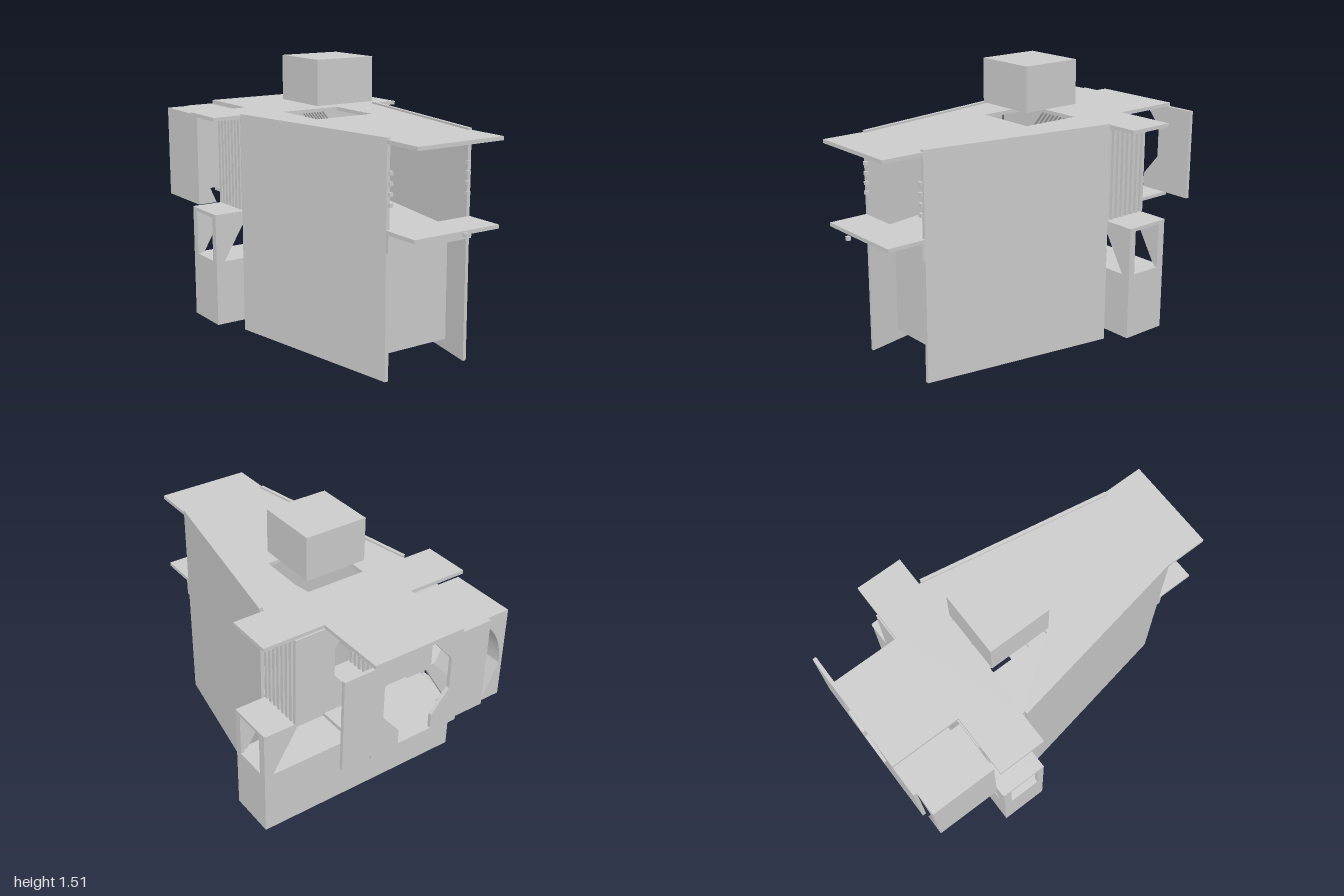
import * as THREE from 'three';
import { toCreasedNormals } from 'three/addons/utils/BufferGeometryUtils.js';

const mat = new THREE.MeshStandardMaterial({ color: 0xcccccc });

function toShape(pts, holes = []) {
  const shape = new THREE.Shape(pts.map(p => new THREE.Vector2(...p)));
  for (const h of holes) shape.holes.push(new THREE.Path(h.map(p => new THREE.Vector2(...p))));
  return shape;
}
const extrude = (shape, depth) =>
  new THREE.ExtrudeGeometry(shape, { depth, bevelEnabled: false, curveSegments: 20 });

export function createModel() {
  const group = new THREE.Group();
  const add = (name, geo) => {
    const mesh = new THREE.Mesh(geo, mat);
    mesh.name = name;
    group.add(mesh);
    return mesh;
  };
  const box = (name, x0, x1, y0, y1, z0, z1) =>
    add(name, new THREE.BoxGeometry(x1 - x0, y1 - y0, z1 - z0))
      .position.set((x0 + x1) / 2, (y0 + y1) / 2, (z0 + z1) / 2);
  // Horizontal slab, symmetric in x, from half outline points [x, z]
  const slab = (name, half, y0, y1, hole) => {
    const flip = half.map(([x, z]) => [x, -z]);
    const outline = [...flip, ...flip.map(([x, y]) => [-x, y]).reverse()];
    const geo = extrude(toShape(outline, hole ? [hole] : []), y1 - y0);
    add(name, geo.rotateX(-Math.PI / 2).translate(0, y0, 0));
  };
  // Upright panel in the xy plane
  const panel = (name, pts, z0, z1, holes) =>
    add(name, extrude(toShape(pts, holes), z1 - z0).translate(0, 0, z0));

  // Square lift shaft opening shared by roof and floors
  const shaft = [[-0.175, 0], [0.175, 0], [0.175, 0.335], [-0.175, 0.335]];

  // Roof with front canopy, side wings and rear tail
  slab('roof', [[0.26, 0.95], [0.26, 0.72], [0.245, 0.72], [0.43, -0.35], [0.6, -0.35],
    [0.6, -0.61], [0.26, -0.61], [0.26, -1]], 1.18, 1.2, shaft);
  box('liftCar', -0.175, 0.175, 1.27, 1.51, -0.34, 0.005);

  // Middle and lower floors
  slab('middleFloor', [[0.24, 0.72], [0.425, -0.345], [0.6, -0.345], [0.6, -0.61],
    [0.26, -0.61], [0.26, -1]], 0.655, 0.675, shaft);
  slab('lowerFloor', [[0.275, 0.53], [0.425, -0.345]], 0.055, 0.075, shaft);

  // Tapering side walls
  for (const s of [-1, 1]) {
    const pts = [[0.24, -0.72], [0.26, -0.72], [0.445, 0.335], [0.425, 0.335]].map(([x, y]) => [s * x, y]);
    add('sideWall', extrude(toShape(pts), 1.21).rotateX(-Math.PI / 2));
  }

  // Recessed front panel, fascia and counter
  box('frontPanel', -0.275, 0.275, 0.06, 0.655, 0.52, 0.54);
  box('frontFascia', -0.26, 0.26, 0.655, 0.745, 0.72, 0.737);
  box('counter', -0.26, 0.26, 0.745, 0.765, 0.72, 0.935);
  box('counterKnob', -0.01, 0.01, 0.753, 0.773, 0.98, 1);

  // Rows of small studs on the wall ends
  for (const s of [-1, 1]) for (let i = 0; i < 4; i++) {
    const y = 0.885 + i * 0.052, yr = 0.455 + i * 0.052;
    box('frontStud', s * 0.24 - 0.01, s * 0.24 + 0.01, y - 0.01, y + 0.01, 0.713, 0.733);
    box('rearStud', s * 0.425 - 0.01, s * 0.425 + 0.01, yr - 0.01, yr + 0.01, -0.347, -0.327);
  }

  // Mirrored rib halves forming an octagonal passage
  const ribHalf = [[0.43, 0.675], [0.43, 1.18], [0.09, 1.18], [0.2, 1.05],
    [0.2, 0.875], [0.1, 0.755], [0.1, 0.675]];
  const rib = (name, z0, z1) => {
    for (const s of [-1, 1]) panel(name, ribHalf.map(([x, y]) => [s * x, y]), z0, z1);
  };
  for (let i = 0; i < 8; i++) {
    const z = -0.345 - i * 0.0362;
    rib('corridorRib', z - 0.02, z);
  }
  rib('rearFrame', -1, -0.98);

  // Rear side cabinet with curved hollow face
  const c = new THREE.Shape();
  c.moveTo(-0.56, 0.675);
  c.lineTo(-0.45, 0.675);
  c.lineTo(-0.54, 0.875);
  c.bezierCurveTo(-0.54, 1.04, -0.44, 1.18, -0.28, 1.18);
  c.lineTo(-0.56, 1.18);
  add('curvedCabinet', toCreasedNormals(extrude(c, 0.36), 0.4).translate(0, 0, -0.98));

  // Rear base block with windowed upper storey
  box('baseBlock', -0.605, 0.605, 0.055, 0.41, -0.605, -0.345);
  const wall = [[0.605, 0.41], [0.605, 0.675], [0.395, 0.675], [0.555, 0.41]];
  for (const s of [-1, 1]) {
    const pts = wall.map(([x, y]) => [s * x, y]);
    panel('baseFrontCorner', pts, -0.365, -0.345);
    panel('baseBackCorner', pts, -0.605, -0.585);
    // Side wall with square window
    const side = extrude(toShape([[0.345, 0.41], [0.605, 0.41], [0.605, 0.675], [0.345, 0.675]],
      [[[0.385, 0.412], [0.56, 0.412], [0.56, 0.655], [0.385, 0.655]]]), 0.02);
    add('baseSideWindow', side.rotateY(Math.PI / 2).translate(s > 0 ? 0.585 : -0.605, 0, 0));
  }
  return group;
}
